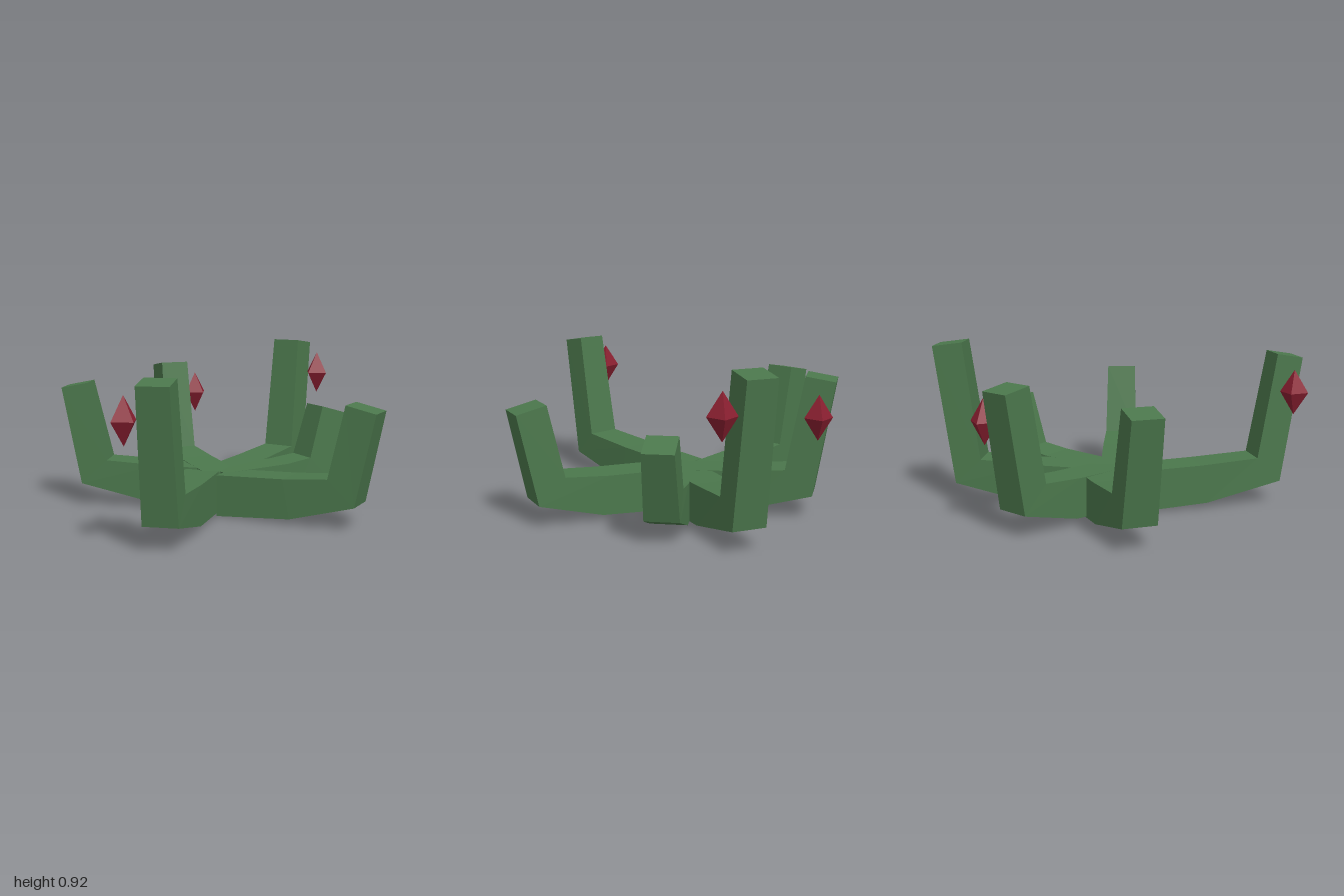
import * as THREE from 'three';

const GREEN = new THREE.MeshStandardMaterial({ color: 0x4b774c, flatShading: true });
const RED = new THREE.MeshStandardMaterial({ color: 0x8a1f30, flatShading: true });

// Skin a chain of four-cornered rings; each ring is { low: [s, y], high: [s, y], width }
function ringGeometry(rings) {
  const positions = [], index = [];
  for (const { low, high, width } of rings) {
    const h = width / 2;
    positions.push(low[0], low[1], -h, low[0], low[1], h, high[0], high[1], h, high[0], high[1], -h);
  }
  for (let i = 0; i < rings.length - 1; i++) {
    for (let j = 0; j < 4; j++) {
      const a = i * 4 + j, b = i * 4 + (j + 1) % 4;
      index.push(a, a + 4, b + 4, a, b + 4, b);
    }
  }
  const e = (rings.length - 1) * 4;
  index.push(0, 1, 2, 0, 2, 3, e + 3, e + 2, e + 1, e + 3, e + 1, e);
  const indexed = new THREE.BufferGeometry();
  indexed.setAttribute('position', new THREE.Float32BufferAttribute(positions, 3));
  indexed.setIndex(index);
  const geometry = indexed.toNonIndexed();
  geometry.computeVertexNormals();
  return geometry;
}

// A branch runs outward along the ground, then bends up at the knee
function branch({ name, start, angle, mid, knee, tip, top }) {
  const geometry = ringGeometry([
    { low: [0, 0], high: [0, 0.23], width: 0.2 },
    { low: [mid + 0.04, 0.03], high: [mid, 0.245], width: 0.2 },
    { low: [knee[1], 0.127], high: [knee[0], 0.265], width: 0.185 },
    { low: [tip[1], top[1]], high: [tip[0], top[0]], width: 0.165 },
  ]);
  const mesh = new THREE.Mesh(geometry, GREEN);
  mesh.name = name;
  mesh.position.set(start[0], 0, start[1]);
  mesh.rotation.y = -THREE.MathUtils.degToRad(angle);
  return mesh;
}

// knee, tip and top list the inner edge first, then the outer edge
const BRANCHES = [
  { name: 'leftBackBranch', start: [0, -0.064], angle: -15, mid: 0.42, knee: [0.728, 0.872], tip: [0.818, 0.983], top: [0.915, 0.893] },
  { name: 'leftFrontBranch', start: [0, -0.06], angle: 15, mid: 0.41, knee: [0.568, 0.7], tip: [0.655, 0.828], top: [0.56, 0.51] },
  { name: 'frontBranch', start: [-0.004, 0.01], angle: 70, mid: 0.395, knee: [0.645, 0.795], tip: [0.735, 0.901], top: [0.66, 0.623] },
  { name: 'backBranch', start: [-0.004, -0.01], angle: -70, mid: 0.395, knee: [0.65, 0.8], tip: [0.745, 0.906], top: [0.78, 0.755] },
  { name: 'rightFrontBranch', start: [-0.048, -0.122], angle: 145, mid: 0.447, knee: [0.78, 0.916], tip: [0.885, 1.032], top: [0.845, 0.82] },
  { name: 'rightBackBranch', start: [0.105, -0.133], angle: -130, mid: 0.36, knee: [0.65, 0.8], tip: [0.758, 0.91], top: [0.71, 0.68] },
];

// Centres of the pointed buds beside the tallest branches
const BUDS = [[0.92, 0.715, -0.135], [0.435, 0.58, -0.73], [-0.922, 0.645, 0.29]];

export function createModel() {
  const model = new THREE.Group();
  model.name = 'branchingPlant';
  for (const spec of BRANCHES) model.add(branch(spec));

  const budGeometry = new THREE.OctahedronGeometry(1).scale(0.077, 0.123, 0.077);
  BUDS.forEach((p, i) => {
    const bud = new THREE.Mesh(budGeometry, RED);
    bud.name = `bud${i + 1}`;
    bud.position.set(...p);
    model.add(bud);
  });
  return model;
}
